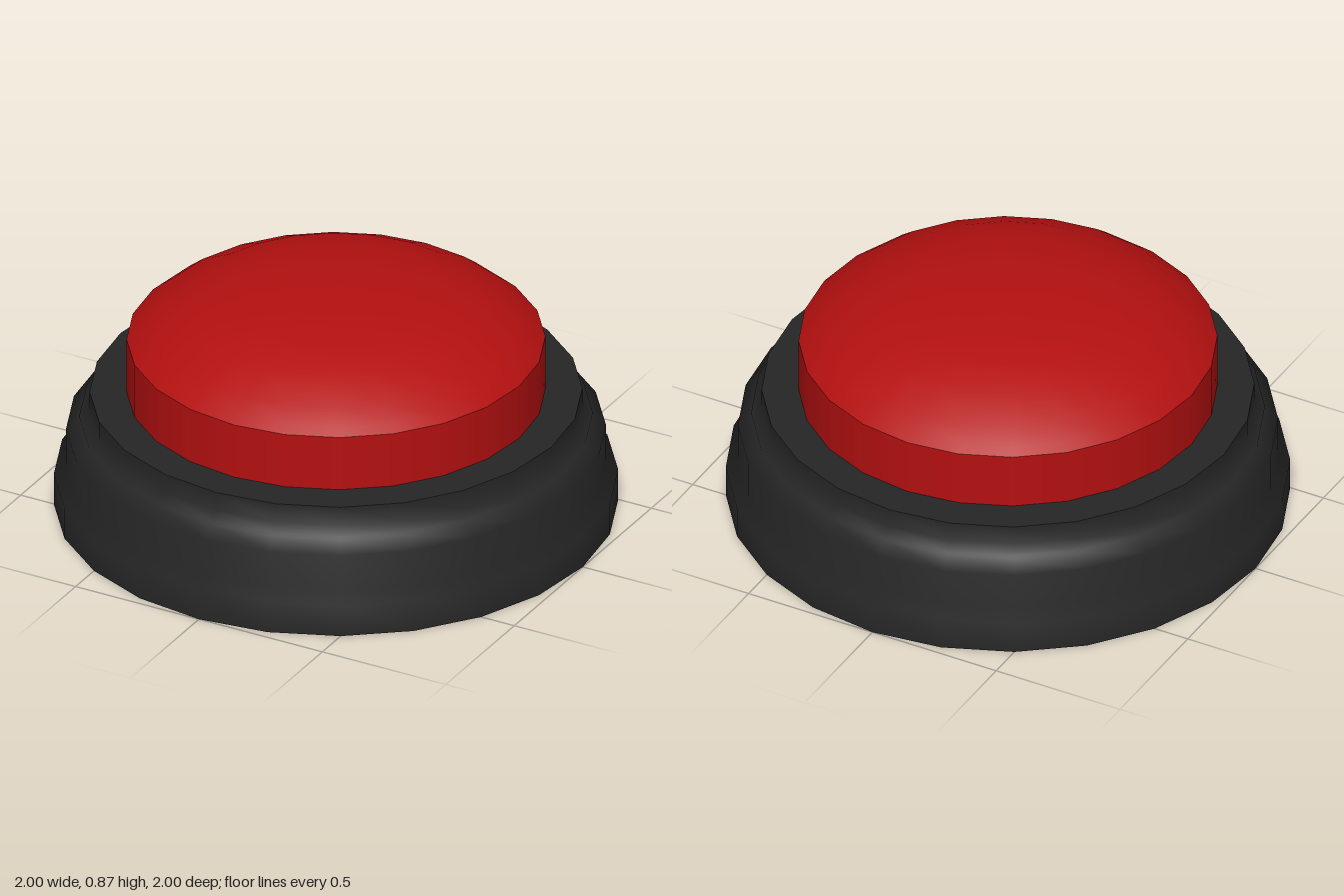
import * as THREE from 'three';

const SIDES = 24;

// Revolves a profile, given from bottom to top, around the y axis
function turned(name, profile, material) {
  const points = profile.map(([r, y]) => new THREE.Vector2(r, y));
  const mesh = new THREE.Mesh(new THREE.LatheGeometry(points, SIDES), material);
  mesh.name = name;
  return mesh;
}

export function createModel() {
  const black = new THREE.MeshStandardMaterial({ color: 0x262626 });
  black.name = 'black plastic';
  const red = new THREE.MeshStandardMaterial({ color: 0xb41010 });
  red.name = 'red plastic';

  // Stepped housing: flat underside, softly shaded steps, flat top
  const base = new THREE.Group();
  base.name = 'base';
  base.add(
    turned('baseUnderside', [[0, 0], [1, 0]], black),
    turned('baseSteps', [
      [1, 0], [1, 0.12], [0.957, 0.16], [0.957, 0.3],
      [0.91, 0.338], [0.91, 0.352], [0.873, 0.378], [0.873, 0.45],
    ], black),
    turned('baseTop', [[0.873, 0.45], [0, 0.45]], black),
  );

  // Push button: straight wall with a sharp rim below a smooth dome
  const button = new THREE.Group();
  button.name = 'button';
  button.add(
    turned('buttonWall', [[0.742, 0.44], [0.742, 0.66]], red),
    turned('buttonDome', [
      [0.742, 0.66], [0.715, 0.684], [0.655, 0.732], [0.53, 0.796],
      [0.39, 0.836], [0.2, 0.861], [0, 0.868],
    ], red),
  );

  const model = new THREE.Group();
  model.name = 'pushButton';
  model.add(base, button);
  return model;
}
